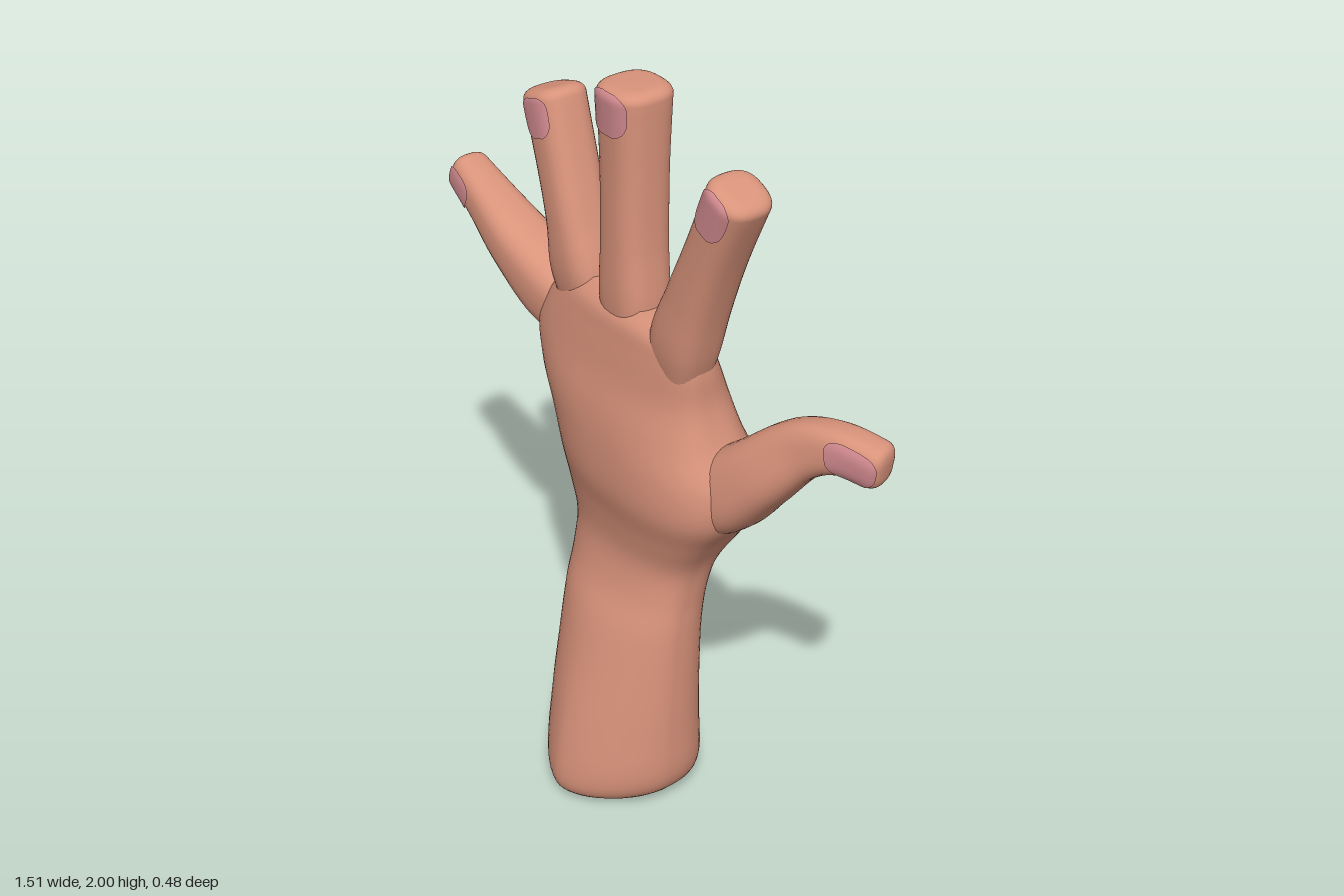
import * as THREE from 'three';

const skin = new THREE.MeshStandardMaterial({ color: 0xd9937b });
skin.name = 'skin';
const nailPink = new THREE.MeshStandardMaterial({ color: 0xd0898e, side: THREE.DoubleSide });
nailPink.name = 'nail pink';

// Smooth interpolation through rows of numbers, s from 0 to 1
function sample(keys, s) {
  const n = keys.length - 1;
  const i = Math.min(Math.floor(s * n), n - 1);
  const t = s * n - i;
  const at = (k) => keys[THREE.MathUtils.clamp(k, 0, n)];
  return keys[0].map((_, c) => {
    const [a, b, d, e] = [at(i - 1)[c], at(i)[c], at(i + 1)[c], at(i + 2)[c]];
    return b + 0.5 * t * (d - a + t * (2 * a - 5 * b + 4 * d - e + t * (3 * (b - d) + e - a)));
  });
}

const spow = (v, e) => Math.sign(v) * Math.pow(Math.abs(v), e);

// Grid of points to a mesh; closed grids wrap round and get end caps
function skinGrid(rows, closed, material, name) {
  const n = rows[0].length;
  if (closed) {
    const middle = (row) => {
      const c = row.reduce((sum, p) => sum.add(p), new THREE.Vector3()).divideScalar(n);
      return row.map(() => c);
    };
    rows = [middle(rows[0]), ...rows, middle(rows[rows.length - 1])];
  }
  const index = [];
  for (let i = 0; i < rows.length - 1; i++) {
    for (let j = 0; j < (closed ? n : n - 1); j++) {
      const a = i * n + j, b = i * n + (j + 1) % n;
      index.push(a, a + n, b, b, a + n, b + n);
    }
  }
  const g = new THREE.BufferGeometry().setFromPoints(rows.flat());
  g.setIndex(index);
  g.computeVertexNormals();
  const mesh = new THREE.Mesh(g, material);
  mesh.name = name;
  return mesh;
}

// Forearm, wrist and palm: y, left x, right x, front z, back z, middle z, front and back exponents
const armKeys = [
  [0.00, -0.09, 0.10, 0.19, -0.11, 0.03, 1.7, 2.6],
  [0.03, -0.165, 0.18, 0.232, -0.14, 0.03, 1.7, 2.6],
  [0.10, -0.20, 0.22, 0.238, -0.15, 0.03, 1.7, 2.6],
  [0.25, -0.205, 0.225, 0.215, -0.142, 0.03, 1.7, 2.6],
  [0.40, -0.205, 0.225, 0.18, -0.137, 0.02, 1.8, 2.6],
  [0.55, -0.205, 0.225, 0.14, -0.14, 0.01, 1.9, 2.6],
  [0.65, -0.205, 0.225, 0.10, -0.15, -0.01, 2.1, 2.6],
  [0.75, -0.21, 0.24, 0.08, -0.155, -0.03, 2.3, 2.8],
  [0.85, -0.235, 0.295, 0.09, -0.162, -0.03, 2.4, 3.2],
  [0.95, -0.265, 0.36, 0.112, -0.166, -0.04, 2.4, 3.4],
  [1.05, -0.30, 0.365, 0.115, -0.168, -0.04, 2.4, 3.4],
  [1.15, -0.342, 0.318, 0.108, -0.168, -0.03, 2.4, 3.3],
  [1.25, -0.362, 0.287, 0.09, -0.16, -0.02, 2.4, 3],
  [1.35, -0.30, 0.283, 0.076, -0.12, -0.01, 2.5, 2.8],
  [1.41, -0.235, 0.265, 0.065, -0.085, -0.01, 2.5, 2.6],
  [1.445, -0.16, 0.19, 0.035, -0.05, -0.01, 2.4, 2.4],
];

function makeArm() {
  const rows = [];
  const bump = (x, y, cx, cy, rx, ry) => Math.exp(-(((x - cx) / rx) ** 2) - ((y - cy) / ry) ** 2);
  for (let i = 0; i <= 75; i++) {
    const [y, xl, xr, zf, zb, zm, ef, eb] = sample(armKeys, i / 75);
    const row = [];
    for (let j = 0; j < 56; j++) {
      const a = (j / 56) * Math.PI * 2, c = Math.cos(a), s = Math.sin(a);
      const e = s > 0 ? ef : eb;
      const x = (xl + xr) / 2 + ((xr - xl) / 2) * spow(c, 2 / e);
      const k = Math.pow(Math.abs(s), 2 / e);
      let z = zm + (s > 0 ? zf - zm : zb - zm) * k;
      // thumb pad and hollow of the palm on the back
      if (s < 0) z += k * (0.022 * bump(x, y, -0.01, 1.1, 0.1, 0.2) - 0.082 * bump(x, y, 0.23, 0.94, 0.14, 0.16));
      row.push(new THREE.Vector3(x, y, z));
    }
    rows.push(row);
  }
  return skinGrid(rows, true, skin, 'forearmAndPalm');
}

// Digits: rows of x, y, z, half width, half depth from root to tip
// nail: distance of its root and its end from the tip, width, sideways shift
const digits = {
  littleFinger: { nail: [0.12, 0.012, 0.7, -0.12], keys: [
    [-0.21, 1.21, -0.04, 0.07, 0.05], [-0.35, 1.29, -0.035, 0.094, 0.088], [-0.49, 1.37, -0.015, 0.076, 0.08],
    [-0.62, 1.437, -0.01, 0.06, 0.063], [-0.743, 1.49, -0.01, 0.052, 0.05]] },
  ringFinger: { nail: [0.12, 0.025, 0.62, 0.12], keys: [
    [-0.17, 1.28, -0.015, 0.06, 0.045], [-0.195, 1.42, -0.01, 0.088, 0.072], [-0.22, 1.56, -0.005, 0.07, 0.072],
    [-0.265, 1.71, -0.005, 0.069, 0.07], [-0.318, 1.872, -0.005, 0.074, 0.07]] },
  middleFinger: { nail: [0.122, 0.012, 0.78, 0], keys: [
    [0.01, 1.25, -0.01, 0.06, 0.045], [0.01, 1.42, -0.01, 0.086, 0.072], [0.01, 1.6, -0.01, 0.077, 0.074],
    [0.01, 1.8, -0.01, 0.077, 0.075], [0.01, 2.0, -0.01, 0.082, 0.083]] },
  indexFinger: { nail: [0.128, 0.012, 0.74, 0], keys: [
    [0.18, 1.24, -0.015, 0.06, 0.045], [0.21, 1.4, -0.01, 0.084, 0.072], [0.265, 1.55, -0.01, 0.074, 0.072],
    [0.33, 1.705, -0.01, 0.067, 0.07], [0.412, 1.89, -0.01, 0.07, 0.07]] },
  thumb: { nail: [0.135, 0.012, 0.76, 0], keys: [
    [0.17, 0.87, -0.06, 0.05, 0.05], [0.295, 1.0, -0.08, 0.1, 0.1], [0.415, 1.12, -0.09, 0.09, 0.082],
    [0.525, 1.23, -0.12, 0.074, 0.06], [0.635, 1.275, -0.15, 0.06, 0.053], [0.746, 1.262, -0.19, 0.057, 0.05]] },
};

function makeDigit(name, { keys, nail: [nailRoot, nailEnd, nailWidth, nailShift] }) {
  const group = new THREE.Group();
  group.name = name;
  const r = 0.04, e = 2.7;
  const pos = (s) => new THREE.Vector3(...sample(keys, s));
  const n = keys.length - 1;
  const last = pos(1).distanceTo(pos(1 - 1 / n)) * n; // length scale near the tip

  // Cross-section at s with a rounded rim at the tip
  const section = (s) => {
    const [x, y, z, w, d] = sample(keys, s);
    const t = pos(Math.min(1, s + 0.01)).sub(pos(Math.max(0, s - 0.01))).normalize();
    const v = new THREE.Vector3(0, 0, 1).addScaledVector(t, -t.z).normalize();
    const u = new THREE.Vector3().crossVectors(t, v);
    const gap = Math.max(0, r - (1 - s) * last);
    const inset = r - Math.sqrt(Math.max(0, r * r - gap * gap));
    const c = new THREE.Vector3(x, y, z);
    return { w: w - inset, d: d - inset, at: (a, b) => c.clone().addScaledVector(u, a).addScaledVector(v, b) };
  };

  const rim = 1 - r / last;
  const steps = [];
  for (let i = 0; i < 28; i++) steps.push((rim * i) / 28);
  for (let i = 0; i <= 7; i++) steps.push(rim + (1 - rim) * Math.sin((i / 7) * Math.PI / 2));
  const rows = steps.map((s) => {
    const q = section(s);
    return Array.from({ length: 32 }, (_, j) => {
      const a = (j / 32) * Math.PI * 2;
      return q.at(q.w * spow(Math.cos(a), 2 / e), q.d * spow(Math.sin(a), 2 / e));
    });
  });
  group.add(skinGrid(rows, true, skin, name + 'Flesh'));

  // Nail: thin patch lying just over the flesh, with rounded ends
  const nailRows = [];
  for (let i = 0; i <= 14; i++) {
    const p = 0.5 - 0.5 * Math.cos((i / 14) * Math.PI);
    const q = section(1 - (nailRoot * (1 - p) + nailEnd * p) / last);
    const half = nailWidth * Math.pow(1 - Math.pow(Math.abs(1 - 2 * p), 3.5) * 0.9, 0.4);
    nailRows.push(Array.from({ length: 13 }, (_, j) => {
      const f = half * (1 - j / 6) + nailShift;
      return q.at(f * q.w, q.d * Math.pow(1 - Math.pow(Math.abs(f), e), 1 / e) + 0.005);
    }));
  }
  group.add(skinGrid(nailRows, false, nailPink, name + 'Nail'));
  return group;
}

export function createModel() {
  const hand = new THREE.Group();
  hand.name = 'hand';
  hand.add(makeArm());
  for (const [name, digit] of Object.entries(digits)) hand.add(makeDigit(name, digit));
  return hand;
}
